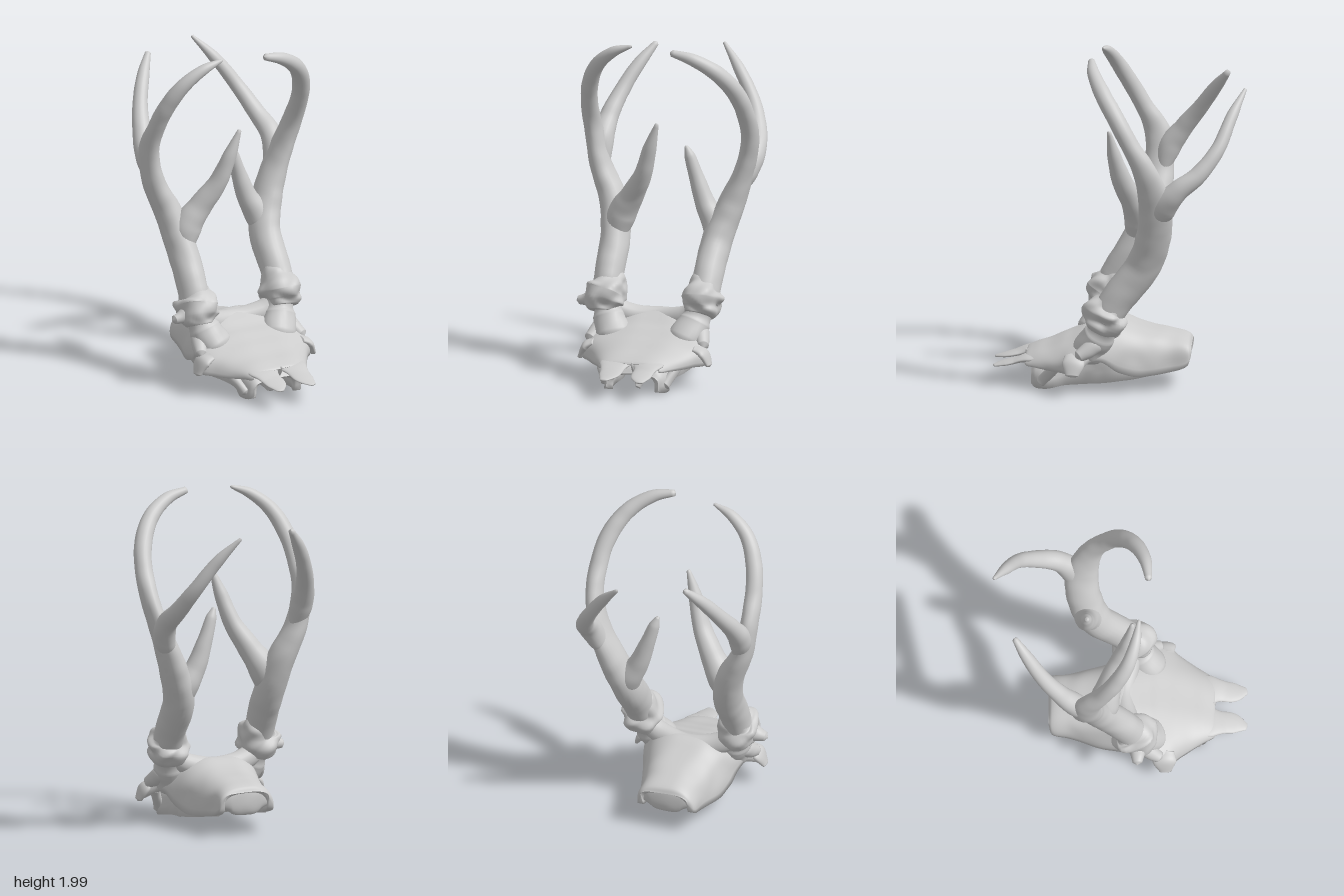
import * as THREE from 'three';

const material = new THREE.MeshStandardMaterial({ color: 0xcccccc, side: THREE.DoubleSide });
const CX = -0.035; // middle line of the skull

// gentle repeatable surface irregularity, about -1..1
const bump = (p, f) =>
  (Math.sin(f * p.x + 2 * Math.sin(f * 0.6 * p.y)) + Math.sin(f * p.y * 1.1 + 1.7 * Math.sin(f * 0.7 * p.z)) + Math.sin(f * p.z * 0.9 + 1.3)) / 3;

// smooth skin over a list of closed rings of equal length
function skin(name, rings) {
  const n = rings[0].length, pos = [], index = [];
  rings.forEach((ring) => ring.forEach((p) => pos.push(p.x, p.y, p.z)));
  for (let r = 0; r < rings.length - 1; r++) {
    for (let i = 0; i < n; i++) {
      const a = r * n + i, b = r * n + (i + 1) % n;
      index.push(a, b, a + n, b, b + n, a + n);
    }
  }
  const geometry = new THREE.BufferGeometry();
  geometry.setAttribute('position', new THREE.Float32BufferAttribute(pos, 3));
  geometry.setIndex(index);
  geometry.computeVertexNormals();
  const mesh = new THREE.Mesh(geometry, material);
  mesh.name = name;
  return mesh;
}

// tapering limb through [x, y, z, radius, optional radius along ref]
function limb(name, pts, { rough = 0.025, freq = 42, ref = new THREE.Vector3(0, 0, 1), steps = 48, sides = 24 } = {}) {
  const path = new THREE.CatmullRomCurve3(pts.map((p) => new THREE.Vector3(p[0], p[1], p[2])));
  const size = new THREE.CatmullRomCurve3(pts.map((p) => new THREE.Vector3(p[3], p[4] ?? p[3], 0)));
  const rings = [];
  for (let s = 0; s <= steps; s++) {
    const c = path.getPoint(s / steps), r = size.getPoint(s / steps), t = path.getTangent(s / steps);
    const u = new THREE.Vector3().crossVectors(t, ref).normalize();
    const v = new THREE.Vector3().crossVectors(u, t);
    const ring = [];
    for (let i = 0; i < sides; i++) {
      const a = (i / sides) * Math.PI * 2;
      const d = u.clone().multiplyScalar(Math.cos(a) * r.x).addScaledVector(v, Math.sin(a) * r.y);
      const k = 1 + rough * bump(d.clone().add(c), freq);
      ring.push(d.multiplyScalar(k).add(c));
    }
    if (s === 0) rings.push(ring.map(() => c.clone()));
    rings.push(ring);
    if (s === steps) rings.push(ring.map(() => c.clone().addScaledVector(t, Math.min(r.x, r.y) * 0.6)));
  }
  return skin(name, rings);
}

// hollow arched shell, open below, through [z, halfWidth, top, bottom, wall]
function shell(name, rows, power) {
  const curve = (k) => new THREE.CatmullRomCurve3(rows.map((r) => new THREE.Vector3(...k.map((i) => r[i]))));
  const main = curve([0, 1, 2]), rest = curve([3, 4, 0]);
  const steps = 70, half = 36, rings = [];
  for (let s = 0; s <= steps; s++) {
    const { x: z, y: hw, z: top } = main.getPoint(s / steps);
    const { x: low, y: wall } = rest.getPoint(s / steps);
    const arch = (inset) => Array.from({ length: half + 1 }, (_, i) => {
      const a = (i / half) * Math.PI, c = Math.cos(a);
      const p = new THREE.Vector3(
        CX + Math.sign(c) * Math.abs(c) ** power * (hw - inset),
        low + Math.sin(a) ** power * (top - low - inset), z);
      p.y += 0.006 * bump(p, 26);
      p.x += 0.006 * bump(p, 31);
      return p;
    });
    rings.push([...arch(0), ...arch(Math.max(wall, 0)).reverse()]);
  }
  return skin(name, rings);
}

function buildSkull() {
  const skull = new THREE.Group();
  skull.name = 'skull';

  skull.add(shell('cranium', [
    [-0.42, 0.14, 0.27, 0.23, 0], [-0.4, 0.175, 0.3, 0.16, 0.035], [-0.3, 0.185, 0.33, 0.12, 0.035],
    [-0.2, 0.215, 0.35, 0.105, 0.035], [-0.1, 0.245, 0.375, 0.1, 0.035], [0, 0.27, 0.41, 0.13, 0.035],
    [0.1, 0.3, 0.375, 0.2, 0.035], [0.17, 0.315, 0.34, 0.2, 0.03], [0.22, 0.375, 0.32, 0.17, 0.03],
    [0.28, 0.375, 0.295, 0.14, 0.025], [0.34, 0.32, 0.275, 0.14, 0.025], [0.42, 0.262, 0.245, 0.14, 0.025],
    [0.5, 0.215, 0.218, 0.145, 0.02], [0.545, 0.19, 0.2, 0.145, 0.015], [0.555, 0.18, 0.19, 0.155, 0],
  ], 0.75));

  // lower walls, pinched between the eye sockets and cut along a slanting plane
  skull.add(shell('skullBase', [
    [-0.36, 0.15, 0.24, 0.13, 0], [-0.2, 0.19, 0.26, 0.1, 0.035], [0, 0.22, 0.28, 0.065, 0.035],
    [0.12, 0.2, 0.27, 0.05, 0.03], [0.22, 0.165, 0.25, 0.035, 0.03], [0.32, 0.165, 0.22, 0.025, 0.03],
    [0.42, 0.195, 0.19, 0.012, 0.045], [0.49, 0.18, 0.16, 0.01, 0.05], [0.52, 0.16, 0.12, 0.03, 0],
  ], 0.5));

  // back wall of the braincase
  skull.add(limb('occiput', [
    [CX - 0.15, 0.2, -0.37, 0.03, 0.02], [CX - 0.09, 0.215, -0.38, 0.075, 0.028], [CX, 0.215, -0.385, 0.09, 0.028],
    [CX + 0.09, 0.215, -0.38, 0.075, 0.028], [CX + 0.15, 0.2, -0.37, 0.03, 0.02],
  ], { rough: 0.1 }));

  // thin bone walls inside, and the floor closing the braincase in front
  skull.add(limb('septum', [[CX + 0.01, 0.2, 0.4, 0.015, 0.15], [CX + 0.01, 0.1, 0.4, 0.015, 0.12], [CX + 0.01, 0.02, 0.43, 0.008, 0.05]], { rough: 0.3 }));
  skull.add(limb('braincaseFloor', [
    [CX, 0.24, -0.02, 0.1, 0.03], [CX, 0.17, 0.05, 0.18, 0.05], [CX, 0.14, 0.15, 0.17, 0.05], [CX, 0.15, 0.27, 0.12, 0.03],
  ], { rough: 0.12, freq: 30, ref: new THREE.Vector3(0, 1, 0) }));

  // saddle of bone between the two antler bases
  skull.add(limb('frontalRidge', [
    [CX - 0.28, 0.43, 0.07, 0.06], [CX - 0.18, 0.37, 0.05, 0.065], [CX, 0.347, 0.02, 0.06],
    [CX + 0.18, 0.37, 0.05, 0.065], [CX + 0.28, 0.43, 0.07, 0.06],
  ]));

  for (const side of [-1, 1]) {
    const X = (d) => CX + side * d;
    // forked nasal tips
    skull.add(limb('noseProng', [
      [X(0.1), 0.185, 0.49, 0.095, 0.02], [X(0.1), 0.17, 0.56, 0.08, 0.02],
      [X(0.096), 0.152, 0.62, 0.068, 0.016], [X(0.1), 0.138, 0.68, 0.053, 0.012], [X(0.112), 0.125, 0.74, 0.022, 0.007],
    ], { ref: new THREE.Vector3(0, 1, 0), rough: 0.12 }));
    // flared brow tip above the eye socket
    skull.add(limb('brow', [
      [X(0.3), 0.24, 0.27, 0.02, 0.05], [X(0.355), 0.21, 0.26, 0.028, 0.065], [X(0.395), 0.14, 0.265, 0.014, 0.035],
    ], { rough: 0.15 }));
    // bone bar from the antler base to the brow
    skull.add(limb('socketBar', [
      [X(0.26), 0.36, 0.07, 0.03], [X(0.305), 0.3, 0.14, 0.05], [X(0.345), 0.245, 0.23, 0.035],
    ], { rough: 0.1, ref: new THREE.Vector3(1, 0, 0) }));
    // rim running down to the palate
    skull.add(limb('socketRim', [
      [X(0.25), 0.18, 0.35, 0.025], [X(0.22), 0.12, 0.4, 0.032], [X(0.18), 0.05, 0.46, 0.03],
    ], { rough: 0.25, ref: new THREE.Vector3(1, 0, 0) }));
  }
  return skull;
}

function buildAntler(name, parts) {
  const antler = new THREE.Group();
  antler.name = name;
  antler.add(limb('pedicle', parts.pedicle, { rough: 0.05 }));
  antler.add(limb('burr', parts.burr, { rough: 0.18, freq: 46, sides: 40 }));
  if (parts.knob) antler.add(limb('burrKnob', parts.knob, { rough: 0.2 }));
  antler.add(limb('mainBeam', parts.beam, { steps: 90 }));
  antler.add(limb('backTine', parts.back));
  antler.add(limb('browTine', parts.brow));
  return antler;
}

export function createModel() {
  const model = new THREE.Group();
  model.name = 'antleredSkull';
  model.add(buildSkull());

  model.add(buildAntler('leftAntler', {
    pedicle: [[0.15, 0.19, 0.22, 0.04], [0.185, 0.265, 0.17, 0.105], [0.225, 0.36, 0.11, 0.095], [0.26, 0.48, 0.06, 0.095]],
    burr: [[0.255, 0.4, 0.11, 0.08], [0.26, 0.44, 0.09, 0.1, 0.125], [0.26, 0.49, 0.07, 0.12, 0.135], [0.26, 0.535, 0.05, 0.1, 0.11], [0.268, 0.6, 0, 0.075]],
    beam: [
      [0.265, 0.46, 0.08, 0.09], [0.27, 0.58, 0.01, 0.087, 0.1], [0.285, 0.8, -0.15, 0.09, 0.105],
      [0.35, 1.0, -0.215, 0.08, 0.102], [0.425, 1.2, -0.225, 0.058, 0.096], [0.477, 1.4, -0.175, 0.052, 0.072],
      [0.48, 1.57, -0.085, 0.053], [0.445, 1.72, 0, 0.052], [0.36, 1.85, 0.085, 0.048],
      [0.23, 1.94, 0.145, 0.037], [0.1, 1.98, 0.165, 0.02],
    ],
    back: [
      [0.37, 1.03, -0.22, 0.02], [0.43, 1.18, -0.27, 0.06, 0.08], [0.455, 1.295, -0.36, 0.062], [0.435, 1.39, -0.48, 0.052],
      [0.375, 1.53, -0.59, 0.043], [0.26, 1.71, -0.67, 0.034], [0.15, 1.84, -0.74, 0.01],
    ],
    brow: [
      [0.295, 0.72, -0.1, 0.02], [0.275, 0.86, -0.18, 0.083], [0.2, 0.99, -0.2, 0.062],
      [0.135, 1.17, -0.205, 0.043], [0.1, 1.28, -0.2, 0.032], [0.08, 1.335, -0.195, 0.012],
    ],
  }));

  model.add(buildAntler('rightAntler', {
    pedicle: [[-0.22, 0.19, 0.22, 0.04], [-0.255, 0.265, 0.17, 0.105], [-0.295, 0.36, 0.12, 0.095], [-0.32, 0.48, 0.07, 0.095]],
    burr: [[-0.335, 0.39, 0.13, 0.08], [-0.335, 0.44, 0.11, 0.11, 0.125], [-0.32, 0.49, 0.08, 0.12, 0.135], [-0.31, 0.535, 0.06, 0.1, 0.11], [-0.32, 0.6, 0.03, 0.075]],
    knob: [[-0.36, 0.47, 0.1, 0.06], [-0.43, 0.45, 0.1, 0.048], [-0.485, 0.44, 0.1, 0.028]],
    beam: [
      [-0.325, 0.46, 0.09, 0.09], [-0.322, 0.6, 0.03, 0.085, 0.1], [-0.32, 0.8, -0.09, 0.088, 0.1],
      [-0.36, 1.0, -0.17, 0.08, 0.095], [-0.445, 1.2, -0.2, 0.062, 0.087], [-0.482, 1.4, -0.19, 0.052, 0.078],
      [-0.483, 1.57, -0.105, 0.051], [-0.455, 1.72, -0.025, 0.049], [-0.39, 1.85, 0.045, 0.043],
      [-0.28, 1.945, 0.09, 0.032], [-0.165, 1.99, 0.11, 0.01],
    ],
    back: [
      [-0.42, 1.12, -0.2, 0.02], [-0.45, 1.33, -0.26, 0.068], [-0.435, 1.45, -0.345, 0.056],
      [-0.38, 1.6, -0.455, 0.045], [-0.31, 1.73, -0.54, 0.038], [-0.23, 1.84, -0.615, 0.018],
    ],
    brow: [
      [-0.315, 0.72, -0.05, 0.02], [-0.285, 0.92, -0.09, 0.087], [-0.21, 1.05, -0.06, 0.07],
      [-0.125, 1.2, 0, 0.052, 0.06], [-0.07, 1.37, 0.045, 0.04], [-0.02, 1.52, 0.07, 0.012],
    ],
  }));
  return model;
}
